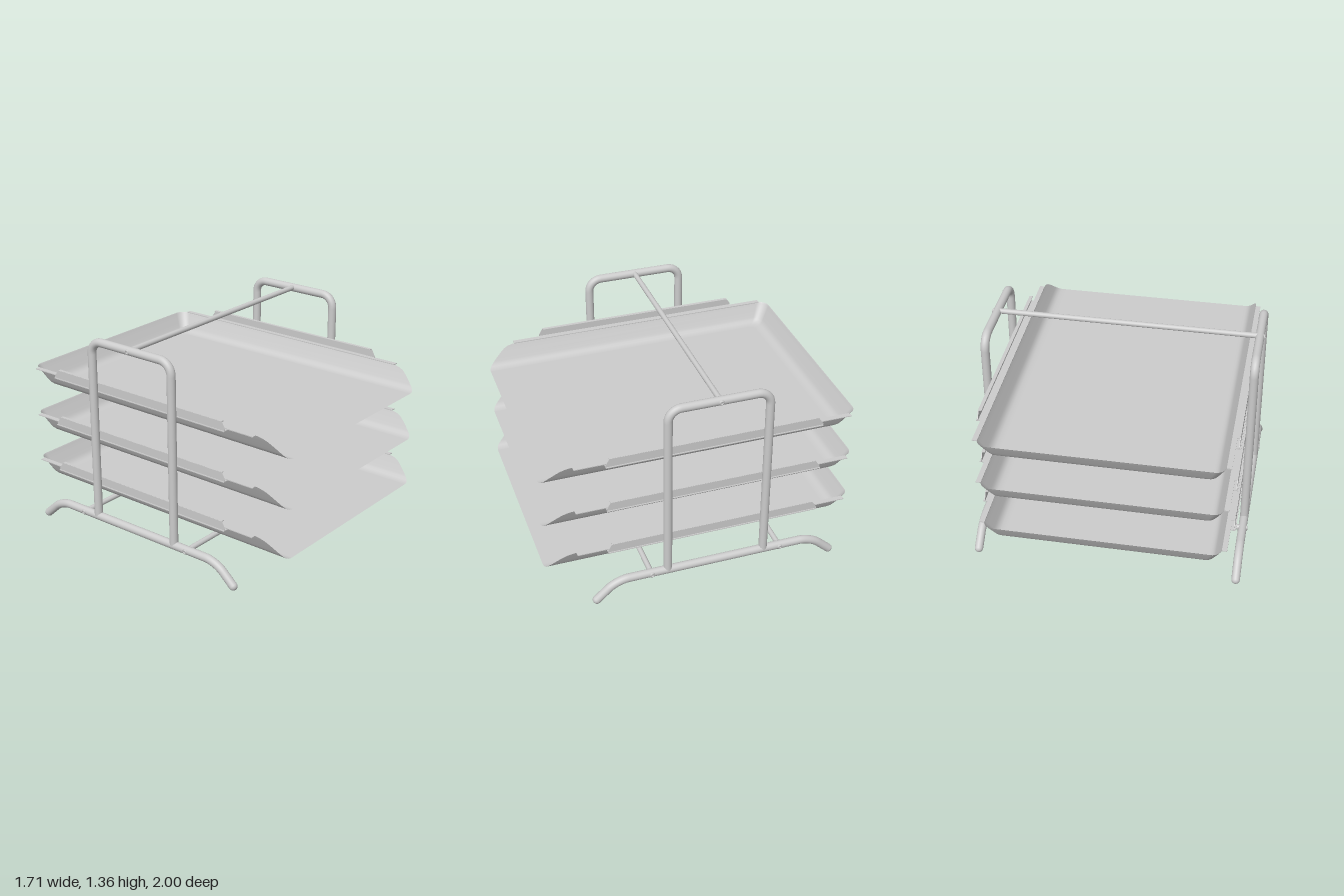
import * as THREE from 'three';

const metal = new THREE.MeshStandardMaterial({ color: 0xcccccc });
const sheet = new THREE.MeshStandardMaterial({ color: 0xcccccc, side: THREE.DoubleSide });
const MID = -0.062;     // z of the frame's middle
const FRAME_X = 0.825;  // x of the side frames
const TUBE = 0.027;

function add(parent, name, geometry, material, x = 0, y = 0, z = 0) {
  const mesh = new THREE.Mesh(geometry, material);
  mesh.name = name;
  mesh.position.set(x, y, z);
  parent.add(mesh);
  return mesh;
}

// Round tube through [z, y] points with its inner corners rounded
function bentTube(points, bend) {
  const p = points.map(([z, y]) => new THREE.Vector3(0, y, z));
  const path = new THREE.CurvePath();
  let last = p[0];
  for (let i = 1; i < p.length - 1; i++) {
    const a = p[i].clone().add(p[i - 1].clone().sub(p[i]).setLength(bend));
    const b = p[i].clone().add(p[i + 1].clone().sub(p[i]).setLength(bend));
    path.add(new THREE.LineCurve3(last, a));
    // cubic handles that approximate a circular bend
    path.add(new THREE.CubicBezierCurve3(a, a.clone().lerp(p[i], 0.55), b.clone().lerp(p[i], 0.55), b));
    last = b;
  }
  path.add(new THREE.LineCurve3(last, p[p.length - 1]));
  return new THREE.TubeGeometry(path, 160, TUBE, 20, false);
}

// Button-head screw with a recessed socket, its axis along y
function screwGeometry() {
  const profile = [[0, 0.02], [0.008, 0.02], [0.008, 0.032], [0.012, 0.032], [0.017, 0.026], [0.018, 0]];
  return new THREE.LatheGeometry(profile.map(([r, y]) => new THREE.Vector2(r, y)).reverse(), 20);
}

function sideFrame(side) {
  const g = new THREE.Group();
  g.name = side > 0 ? 'leftFrame' : 'rightFrame';
  g.position.set(side * FRAME_X, 0, MID);
  add(g, 'foot', bentTube([[0.778, 0.028], [0.645, 0.148], [-0.645, 0.148], [-0.778, 0.028]], 0.075), metal);
  add(g, 'hoop', bentTube([[0.317, 0.148], [0.317, 1.333], [-0.317, 1.333], [-0.317, 0.148]], 0.08), metal);
  for (const z of [-0.778, 0.778])
    add(g, 'footEnd', new THREE.SphereGeometry(TUBE, 20, 12), metal, 0, 0.028, z);
  for (const [y, z] of [[1.333, 0], [0.148, 0.425], [0.148, -0.425]]) {
    const screw = add(g, 'screw', screwGeometry(), sheet, 0, y, z);
    screw.rotation.z = -side * Math.PI / 2;
  }
  return g;
}

// Dished sheet: rings stacked from rim to floor, each open-fronted with rounded back corners
function trayGeometry() {
  // [inset from rim, height above floor, z where the wall is cut at the front]
  const rings = [
    [0, 0.125, 0.79], [0.002, 0.122, 0.825], [0.005, 0.115, 0.855], [0.01, 0.104, 0.88],
    [0.018, 0.088, 0.902], [0.032, 0.06, 0.935], [0.045, 0.035, 0.962], [0.053, 0.022, 0.976],
    [0.065, 0.01, 0.989], [0.08, 0.003, 0.996], [0.1, 0, 1], [0.11, 0, 1],
  ];
  const W = 0.74, BACK = -1, STEPS = 8;
  const pos = [], index = [];
  for (const [inset, h, front] of rings) {
    const x = W - inset, z = BACK + inset * 1.15, r = Math.max(0.065 - inset * 0.3, 0.03);
    pos.push(-x, h, front);
    for (const s of [-1, 1])
      for (let i = 0; i <= STEPS; i++) {
        const a = (i / STEPS) * Math.PI / 2;
        const t = s < 0 ? a : Math.PI / 2 - a;
        pos.push(s * (x - r + r * Math.cos(t)), h, z + r - r * Math.sin(t));
      }
    pos.push(x, h, front);
  }
  const n = 2 * (STEPS + 1) + 2;
  for (let k = 0; k < rings.length - 1; k++)
    for (let i = 0; i < n - 1; i++) {
      const a = k * n + i, b = a + n;
      index.push(a, b, a + 1, b, b + 1, a + 1);
    }
  // flat floor as a fan
  const base = (rings.length - 1) * n, centre = pos.length / 3;
  pos.push(0, 0, 0);
  for (let i = 0; i < n; i++) index.push(base + i, centre, base + (i + 1) % n);
  const geo = new THREE.BufferGeometry();
  geo.setAttribute('position', new THREE.Float32BufferAttribute(pos, 3));
  geo.setIndex(index);
  geo.computeVertexNormals();
  return geo;
}

// Upright plate with sloped ends, lying in the zy plane
function hangerPlate() {
  const s = new THREE.Shape();
  s.moveTo(-0.625, 0.115);
  s.lineTo(0.75, 0.115);
  s.lineTo(0.75, 0.128);
  s.lineTo(0.72, 0.172);
  s.lineTo(-0.6, 0.172);
  s.lineTo(-0.625, 0.128);
  const geo = new THREE.ExtrudeGeometry(s, { depth: 0.005, bevelEnabled: false });
  return geo.rotateY(Math.PI / 2).translate(-0.0025, 0, 0);
}

function tray(y) {
  const g = new THREE.Group();
  g.name = 'tray';
  g.position.y = y;
  add(g, 'dish', trayGeometry(), sheet);
  for (const s of [-1, 1]) {
    add(g, 'rimFlange', new THREE.BoxGeometry(0.032, 0.005, 1.76), metal, s * 0.753, 0.1235, -0.07);
    add(g, 'hangerPlate', hangerPlate(), metal, s * 0.789, 0, 0);
    add(g, 'hangerLip', new THREE.BoxGeometry(0.02, 0.005, 1.32), metal, s * 0.779, 0.17, -0.06);
    add(g, 'hangerBase', new THREE.BoxGeometry(0.038, 0.005, 1.375), metal, s * 0.78, 0.1165, -0.0625);
  }
  return g;
}

export function createModel() {
  const model = new THREE.Group();
  model.name = 'letterTrayStand';
  model.add(sideFrame(1), sideFrame(-1));
  // cross bars joining the side frames
  for (const [name, y, z] of [['topBar', 1.338, 0], ['lowerBar', 0.15, 0.425], ['lowerBar', 0.15, -0.425]]) {
    const bar = new THREE.CylinderGeometry(0.017, 0.017, 2 * FRAME_X, 20).rotateZ(Math.PI / 2);
    add(model, name, bar, metal, 0, y, MID + z);
  }
  for (let i = 0; i < 3; i++) model.add(tray(0.235 + i * 0.32));
  return model;
}
